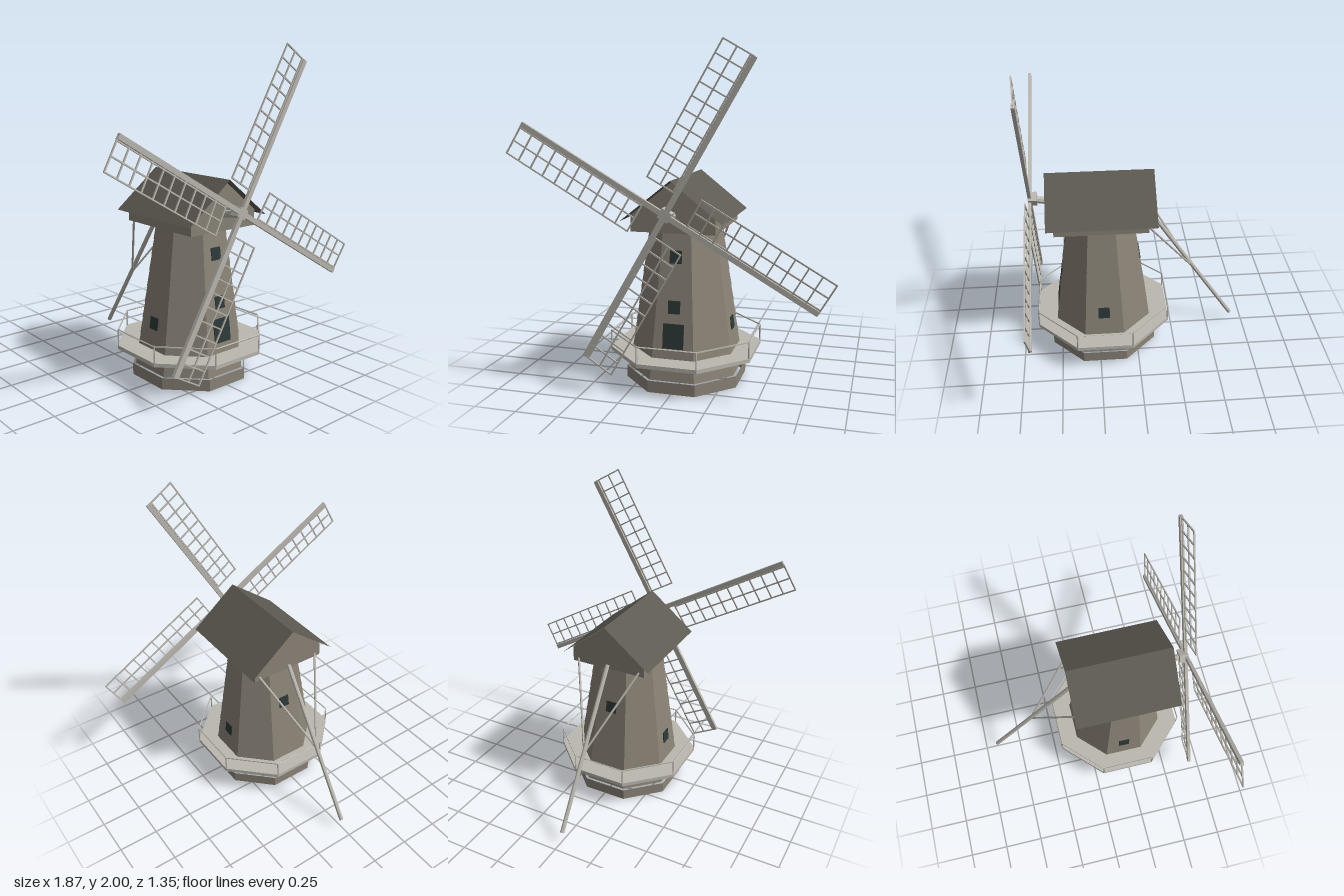
import * as THREE from 'three';

const mat = (name, color, flat = true) => {
  const m = new THREE.MeshStandardMaterial({ color, side: THREE.DoubleSide, flatShading: flat });
  m.name = name;
  return m;
};

export function createModel() {
  const root = new THREE.Group();
  root.name = 'windmill';
  const wall = mat('weatheredBoards', 0x8a8376);
  const roofMat = mat('darkRoof', 0x5d5a51);
  const timber = mat('paleTimber', 0xbab7ae);
  const glass = mat('darkOpenings', 0x2c3838);

  const CZ = 0.22, HUB_Y = 1.06;
  const V = (x, y, z) => new THREE.Vector3(x, y, z);
  const add = (parent, name, geo, material, x = 0, y = 0, z = 0) => {
    const m = new THREE.Mesh(geo, material);
    m.name = name;
    m.position.set(x, y, z);
    parent.add(m);
    return m;
  };
  // Straight member between two points
  const beam = (parent, name, a, b, r, sides = 4, material = timber) => {
    const m = add(parent, name, new THREE.CylinderGeometry(r, r, a.distanceTo(b), sides), material);
    m.position.copy(a).add(b).multiplyScalar(0.5);
    m.quaternion.setFromUnitVectors(V(0, 1, 0), b.clone().sub(a).normalize());
    return m;
  };
  // Octagon corners, flat side to the front, from the distance to a side
  const corner = (apothem, i, y) => {
    const r = apothem / Math.cos(Math.PI / 8), a = Math.PI / 8 + i * Math.PI / 4;
    return V(r * Math.sin(a), y, CZ + r * Math.cos(a));
  };
  const octLathe = (profile) => new THREE.LatheGeometry(
    profile.map(([a, y]) => new THREE.Vector2(a / Math.cos(Math.PI / 8), y)), 8, Math.PI / 8);

  // Base ring, open above and below
  add(root, 'baseRing', octLathe([[0.34, 0], [0.34, 0.07]]), wall, 0, 0, CZ);

  // Tapered tower clad in overlapping rows of boards
  const Y0 = 0.07, Y1 = 0.95, ROWS = 9;
  const apothemAt = (y) => 0.32 - 0.12 * (y - Y0) / (Y1 - Y0);
  const profile = [];
  for (let i = 0; i < ROWS; i++) {
    const a = Y0 + (Y1 - Y0) * i / ROWS, b = Y0 + (Y1 - Y0) * (i + 1) / ROWS;
    profile.push([apothemAt(a) + 0.003, a], [apothemAt(b), b]);
  }
  add(root, 'tower', octLathe(profile), wall, 0, 0, CZ);

  // Door and windows lying on the sloping walls
  const opening = (name, angle, y, w, h) => {
    const side = new THREE.Group();
    side.name = name + 'Side';
    side.position.set(0, 0, CZ);
    side.rotation.y = angle;
    root.add(side);
    const m = add(side, name, new THREE.BoxGeometry(w, h, 0.009), glass, 0, y, apothemAt(y) + 0.002);
    m.rotation.x = -Math.atan(0.12 / (Y1 - Y0));
  };
  opening('door', 0, 0.33, 0.125, 0.145);
  opening('lowerFrontWindow', 0, 0.497, 0.072, 0.076);
  opening('upperFrontWindow', 0, 0.785, 0.072, 0.076);
  opening('leftWindow', Math.PI / 2, 0.355, 0.072, 0.076);
  opening('rightWindow', -Math.PI / 2, 0.355, 0.072, 0.076);
  opening('backWindow', Math.PI, 0.63, 0.072, 0.076);

  // Walkway around the tower with posts and handrail
  add(root, 'walkway', octLathe([[0.3, 0.175], [0.428, 0.175], [0.428, 0.198], [0.3, 0.198]]), timber, 0, 0, CZ);
  for (let i = 0; i < 8; i++) {
    const top = corner(0.424, i, 0.297);
    beam(root, 'railPost', corner(0.424, i, 0.19), top, 0.005);
    beam(root, 'handrail', top, corner(0.424, i + 1, 0.297), 0.005);
  }

  // Cap with gabled ends
  const gable = new THREE.Shape([[-0.25, 0.935], [0.25, 0.935], [0.25, 1.032], [0, 1.23], [-0.25, 1.032]]
    .map(([x, y]) => new THREE.Vector2(x, y)));
  add(root, 'capBody', new THREE.ExtrudeGeometry(gable, { depth: 0.58, bevelEnabled: false }), wall, 0, 0, -0.07);

  // Thin roof slopes that overhang the cap on all sides
  for (const s of [1, -1]) {
    const slope = new THREE.PlaneGeometry(Math.hypot(0.3, 0.238), 0.675);
    slope.rotateX(-Math.PI / 2);
    const m = add(root, 'roofSlope', slope, roofMat, s * 0.15, 1.119, 0.2175);
    m.rotation.z = -s * Math.atan2(0.238, 0.3);
  }

  // Tail pole and its braces
  beam(root, 'tailPole', V(0, 0.965, -0.075), V(0, 0.068, -0.665), 0.014, 8);
  for (const s of [1, -1]) {
    beam(root, 'tailBrace', V(s * 0.215, 0.96, -0.065), V(0, 0.49, -0.38), 0.007, 6);
  }

  // Sail shaft and hub
  beam(root, 'sailShaft', V(0, 1.03, 0.48), V(0, HUB_Y, 0.65), 0.022, 8);
  add(root, 'hub', new THREE.BoxGeometry(0.06, 0.065, 0.055), timber, 0, HUB_Y, 0.635).rotation.z = Math.PI / 3;

  // Four lattice sails, each pitched a little about its spar
  const IN = 0.137, OUT = 0.968, WIDTH = 0.187, BAYS = 10;
  for (let k = 0; k < 4; k++) {
    const arm = new THREE.Group();
    arm.name = 'sail';
    arm.position.set(0, HUB_Y, 0.653);
    arm.rotation.z = Math.PI / 3 + k * Math.PI / 2;
    root.add(arm);
    add(arm, 'spar', new THREE.BoxGeometry(0.97, 0.03, 0.02), timber, 0.485, 0, 0);
    const lattice = new THREE.Group();
    lattice.name = 'lattice';
    lattice.rotation.x = 0.07;
    arm.add(lattice);
    for (const v of [0.022, WIDTH / 2 + 0.01, WIDTH]) {
      add(lattice, 'longBar', new THREE.BoxGeometry(OUT - IN, 0.008, 0.008), timber, (IN + OUT) / 2, v, 0);
    }
    for (let i = 0; i <= BAYS; i++) {
      add(lattice, 'crossBar', new THREE.BoxGeometry(0.008, WIDTH + 0.004, 0.008), timber,
        IN + (OUT - IN) * i / BAYS, WIDTH / 2 + 0.002, 0);
    }
  }
  return root;
}
